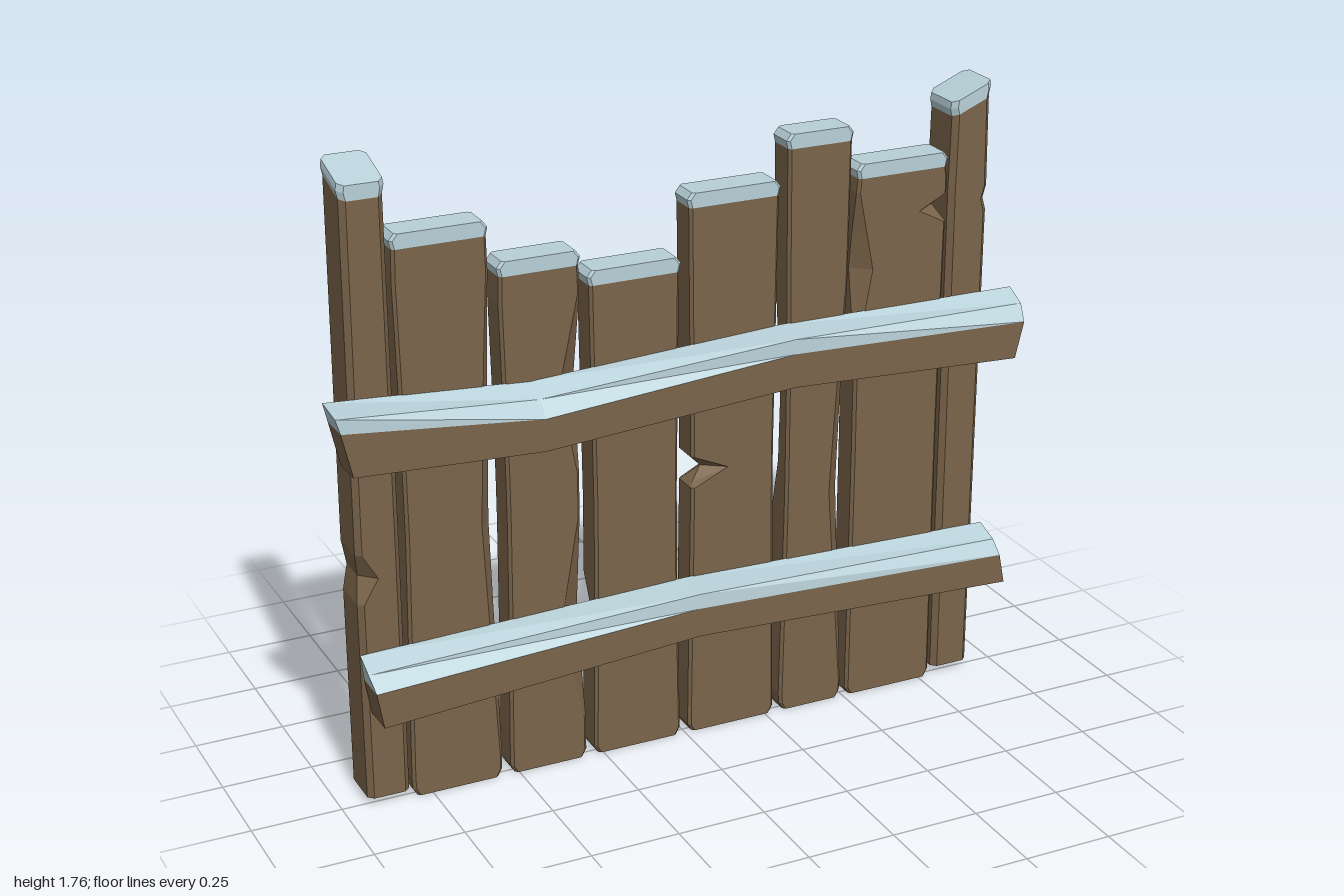
import * as THREE from 'three';

const wood = new THREE.MeshStandardMaterial({ color: 0x7a644a, flatShading: true });
wood.name = 'wood';
const snow = new THREE.MeshStandardMaterial({ color: 0xb8d0d8, flatShading: true });
snow.name = 'snow';

const point = (x, y, z) => new THREE.Vector3(x, y, z);

function facetMesh(name, corners, material) {
  const geo = new THREE.BufferGeometry().setFromPoints(corners);
  geo.computeVertexNormals();
  const mesh = new THREE.Mesh(geo, material);
  mesh.name = name;
  return mesh;
}

function woodAndSnow(name, woodFaces, snowFaces) {
  const group = new THREE.Group();
  group.name = name;
  group.add(facetMesh(name + 'Wood', woodFaces, wood), facetMesh(name + 'Snow', snowFaces, snow));
  return group;
}

// Fill a convex polygon with triangles
function fan(list, pts) {
  for (let i = 1; i < pts.length - 1; i++) list.push(pts[0], pts[i], pts[i + 1]);
}

// Skin between neighbouring rings; pick(ring, side) returns the list that takes the face
function skin(rings, pick) {
  for (let r = 0; r < rings.length - 1; r++) {
    rings[r].forEach((p, i) => {
      const j = (i + 1) % rings[r].length;
      fan(pick(r, i), [p, rings[r][j], rings[r + 1][j], rings[r + 1][i]]);
    });
  }
}

// Corner numbers of a board, seen from above
const FRONT_LEFT = 0, FRONT_RIGHT = 1, BACK_RIGHT = 2, BACK_LEFT = 3;

// A chip planes one corner away around height y, and may bite into the edge
const chip = (corner, y, span, size, bite = 0) => ({ corner, y, span, size, bite });

// Upright board: chamfered, waisted, chipped and capped with snow
function board(name, x0, x1, top, chips, options = {}) {
  const { y0 = 0, zf = 0.022, zb = -0.066, waist = 0.012, bevel = 0.008, round = 0.014, slopeX = 0, slopeZ = 0 } = options;
  const section = (y, inset, tilt = 0) => {
    const cut = [bevel, bevel, bevel, bevel];
    let l = x0 + inset, r = x1 - inset;
    for (const c of chips) {
      const k = Math.max(0, 1 - Math.abs(y - c.y) / c.span);
      cut[c.corner] += c.size * k;
      if (c.corner === FRONT_LEFT || c.corner === BACK_LEFT) l += c.bite * k;
      else r -= c.bite * k;
    }
    const [fl, fr, br, bl] = cut;
    const [dfl, dfr, dbr, dbl] = cut.map((c) => Math.min(c, 0.045));
    return [
      [l + fl, zf], [r - fr, zf], [r, zf - dfr], [r, zb + dbr],
      [r - br, zb], [l + bl, zb], [l, zb + dbl], [l, zf - dfl],
    ].map(([x, z]) => point(x, y + tilt * (slopeX * (x - (x0 + x1) / 2) + slopeZ * (z - (zf + zb) / 2)), z));
  };
  const heights = [0.75, ...chips.flatMap((c) => [c.y - c.span, c.y, c.y + c.span])].sort((a, b) => a - b);
  const rings = [
    section(y0, round),
    section(y0 + 0.02, 0.003),
    ...heights.map((y) => section(y, waist * Math.sin((Math.PI * y) / top))),
    section(top - 0.04, 0.005, 1),
    section(top - 0.018, 0, 1),
    section(top, round, 1),
  ];
  const woodFaces = [], snowFaces = [];
  skin(rings, (r) => (r >= rings.length - 3 ? snowFaces : woodFaces));
  fan(woodFaces, [...rings[0]].reverse());
  fan(snowFaces, rings[rings.length - 1]);
  return woodAndSnow(name, woodFaces, snowFaces);
}

// Crooked rail along x; the two ends are cut at a slant.
// stations: [x, top, bottom, rise of the front bottom edge, z of the snow lip]
function rail(name, slants, stations) {
  const zb = 0.02, zf = 0.117;
  const rings = stations.map(([x, top, bottom, rise, zLip], i) => {
    const slant = i === 0 ? slants[0] : i === stations.length - 1 ? slants[1] : 0;
    const lip = top - 0.009 - (zf - zLip) * 0.55, edge = lip - 0.041;
    const xEdge = x + slant * 0.3, xLow = x + slant;
    return [
      point(xLow, bottom, zb), point(xEdge, edge, zb), point(x, top, zb),
      point(x, lip, zLip), point(xEdge, edge, zf), point(xLow, bottom + rise, zf),
    ];
  });
  const woodFaces = [], snowFaces = [];
  skin(rings, (r, side) => (side >= 1 && side <= 3 ? snowFaces : woodFaces));
  const closeEnd = ([a, b, c, d, e, f], order) => {
    fan(snowFaces, order([b, c, d, e]));
    fan(woodFaces, order([a, b, e, f]));
  };
  closeEnd(rings[0], (pts) => pts.reverse());
  closeEnd(rings[rings.length - 1], (pts) => pts);
  return woodAndSnow(name, woodFaces, snowFaces);
}

export function createModel() {
  const fence = new THREE.Group();
  fence.name = 'snowyFence';

  // Planks, from the model's right to its left
  fence.add(
    board('plank1', -0.807, -0.545, 1.58, [
      chip(FRONT_RIGHT, 0.75, 0.7, 0.022), chip(BACK_RIGHT, 1.2, 0.07, 0.08)]),
    board('plank2', -0.525, -0.295, 1.465, [
      chip(FRONT_RIGHT, 0.42, 0.3, 0.055), chip(FRONT_RIGHT, 1.1, 0.25, 0.05)]),
    board('plank3', -0.277, -0.01, 1.403, [chip(BACK_LEFT, 0.45, 0.07, 0.075)]),
    board('plank4', 0.008, 0.28, 1.57, [
      chip(FRONT_LEFT, 0.785, 0.045, 0.055, 0.045), chip(BACK_LEFT, 0.785, 0.045, 0.045)]),
    board('plank5', 0.295, 0.495, 1.69, [
      chip(FRONT_RIGHT, 0.65, 0.6, 0.035), chip(BACK_LEFT, 0.95, 0.35, 0.07)]),
    board('plank6', 0.507, 0.787, 1.58, [
      chip(FRONT_LEFT, 1.28, 0.22, 0.042), chip(FRONT_RIGHT, 1.425, 0.04, 0.055, 0.022)], { waist: 0.006 }),
  );

  // End posts with slanted tops
  const post = { y0: 0.02, zf: 0.017, zb: -0.12, waist: 0.002, bevel: 0.015, round: 0.003 };
  fence.add(
    board('rightPost', -0.932, -0.808, 1.74, [chip(FRONT_LEFT, 0.66, 0.07, 0.028, 0.013)], { ...post, slopeZ: -0.3 }),
    board('leftPost', 0.797, 0.92, 1.735, [chip(BACK_RIGHT, 1.43, 0.035, 0.025, 0.01)], { ...post, slopeX: 0.42 }),
  );

  // Two crooked cross rails
  fence.add(
    rail('upperRail', [0.04, -0.035], [
      [-1, 1.17, 0.995, 0.002, 0.115],
      [-0.44, 1.132, 0.965, 0.007, 0.08],
      [0.28, 1.168, 0.985, 0.037, 0.115],
      [1, 1.163, 0.985, 0.005, 0.08],
    ]),
    rail('lowerRail', [0.025, 0.025], [
      [-0.935, 0.452, 0.278, 0.002, 0.08],
      [0, 0.48, 0.312, 0.033, 0.113],
      [0.94, 0.457, 0.285, 0.02, 0.09],
    ]),
  );
  return fence;
}
